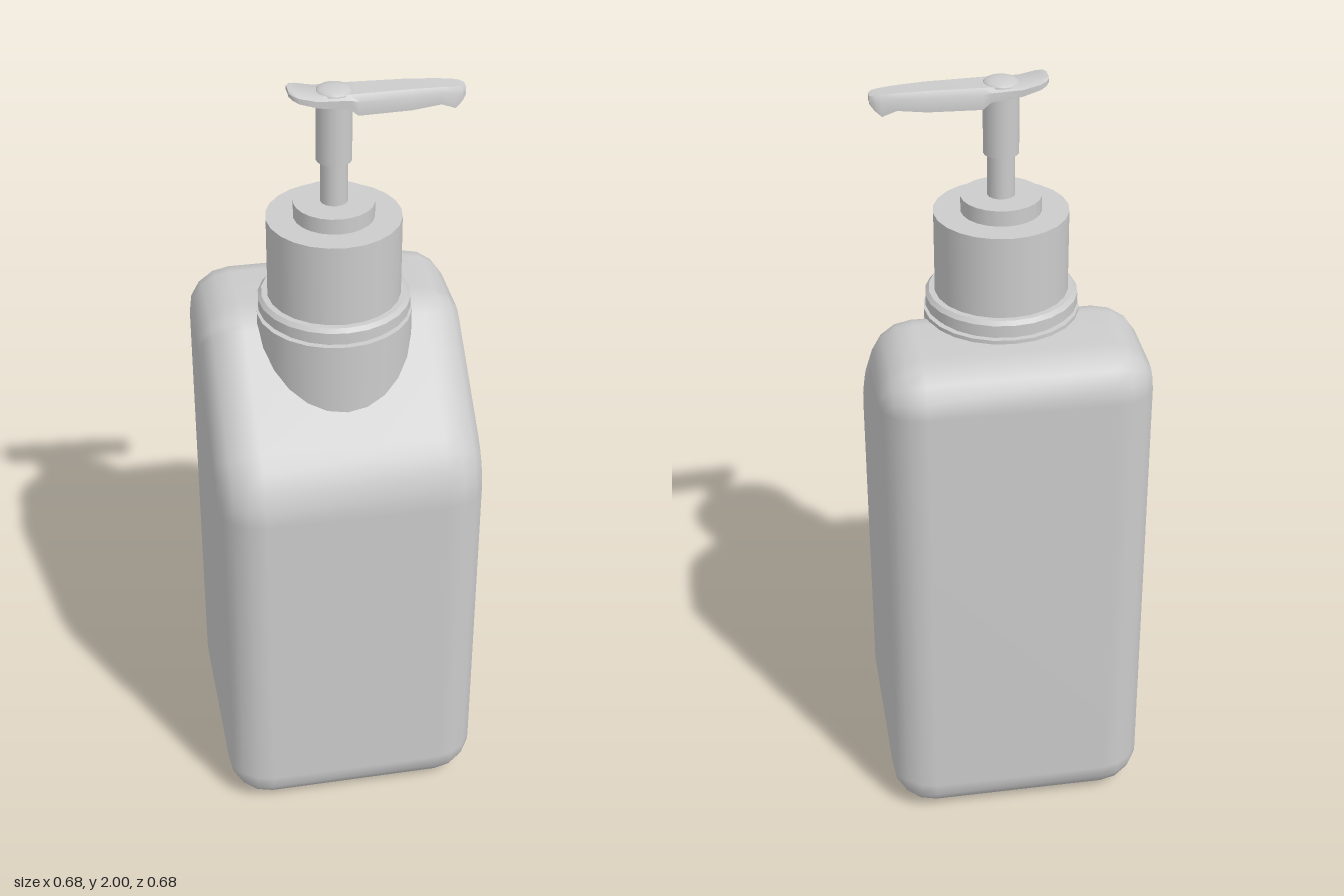
import * as THREE from 'three';
import { mergeVertices, toCreasedNormals } from 'three/addons/utils/BufferGeometryUtils.js';

const grey = new THREE.MeshStandardMaterial({ color: 0xcccccc });
const greyDouble = new THREE.MeshStandardMaterial({ color: 0xcccccc, side: THREE.DoubleSide });

function part(name, geometry, material = grey) {
  const mesh = new THREE.Mesh(geometry, material);
  mesh.name = name;
  return mesh;
}

// Upright cylinder given by its bottom and top heights
function cylinder(name, y0, y1, rBottom, rTop = rBottom, sides = 24) {
  const mesh = part(name, new THREE.CylinderGeometry(rTop, rBottom, y1 - y0, sides));
  mesh.position.y = (y0 + y1) / 2;
  return mesh;
}

// Bottle: side outline with a sloping front shoulder, extruded across with rounded edges
function bottleGeometry() {
  const rad = THREE.MathUtils.degToRad;
  const outline = new THREE.Shape();
  const corners = [ // z, y, radius, start angle, end angle
    [0.23, 0.11, 0.11, 270, 360],
    [0.12, 0.985, 0.22, 0, 50],
    [-0.065, 1.27, 0.12, 50, 90],
    [-0.23, 1.28, 0.11, 90, 180],
    [-0.23, 0.11, 0.11, 180, 270],
  ];
  for (const [z, y, r, a, b] of corners) outline.absarc(z, y, r, rad(a), rad(b), false);
  outline.closePath();
  const geo = new THREE.ExtrudeGeometry(outline, {
    depth: 0.46, curveSegments: 2, bevelSegments: 4,
    bevelThickness: 0.11, bevelSize: 0.105, bevelOffset: -0.105,
  });
  geo.translate(0, 0, -0.23);
  geo.rotateY(-Math.PI / 2);
  geo.deleteAttribute('uv');
  geo.deleteAttribute('normal');
  const smooth = mergeVertices(geo, 1e-4);
  smooth.computeVertexNormals();
  return smooth;
}

// Pump lever: inverted channel swept along x, solid behind the stem and open under the spout
function leverGeometry() {
  const sections = [ // x, half width, top, bottom, channel roof
    [-0.11, 0.022, 2.0, 1.988, 1.989],
    [-0.102, 0.036, 2.0, 1.984, 1.985],
    [-0.088, 0.044, 1.997, 1.978, 1.979],
    [-0.045, 0.046, 1.988, 1.965, 1.966],
    [0.03, 0.046, 1.988, 1.955, 1.966],
    [0.05, 0.045, 1.988, 1.938, 1.972],
    [0.18, 0.039, 1.987, 1.938, 1.972],
    [0.25, 0.033, 1.984, 1.944, 1.97],
    [0.285, 0.030, 1.981, 1.93, 1.966],
    [0.302, 0.025, 1.979, 1.945, 1.964],
    [0.312, 0.015, 1.976, 1.957, 1.961],
  ];
  const positions = [], index = [], n = 12;
  for (const [x, w, top, bottom, roof] of sections) {
    const v = w - Math.min(0.01, w * 0.4);
    const shoulder = top - (top - bottom) * 0.3;
    const innerShoulder = roof - (roof - bottom) * 0.3;
    const loop = [
      [bottom, -w], [shoulder, -w], [top, -w * 0.75], [top, w * 0.75], [shoulder, w], [bottom, w],
      [bottom, v], [innerShoulder, v], [roof, v * 0.75], [roof, -v * 0.75], [innerShoulder, -v], [bottom, -v],
    ];
    for (const [y, z] of loop) positions.push(x, y, z);
  }
  const quad = (a, b, c, d) => index.push(a, b, c, a, c, d);
  for (let i = 0; i < sections.length - 1; i++) {
    for (let j = 0; j < n; j++) {
      const k = (j + 1) % n;
      quad(i * n + j, i * n + k, (i + 1) * n + k, (i + 1) * n + j);
    }
  }
  const last = (sections.length - 1) * n;
  for (let j = 0; j < 5; j++) {
    quad(last + j, last + j + 1, last + 10 - j, last + 11 - j);
    quad(11 - j, 10 - j, j + 1, j);
  }
  const geo = new THREE.BufferGeometry();
  geo.setAttribute('position', new THREE.Float32BufferAttribute(positions, 3));
  geo.setIndex(index);
  return toCreasedNormals(geo, 0.7);
}

export function createModel() {
  const model = new THREE.Group();
  model.name = 'soapDispenser';
  model.add(part('bottle', bottleGeometry()));

  // Neck and screw cap
  model.add(
    cylinder('neck', 1.1, 1.4, 0.195),
    cylinder('neckGap', 1.39, 1.42, 0.18),
    cylinder('collarRing', 1.41, 1.438, 0.191),
    cylinder('collarRim', 1.438, 1.448, 0.191, 0.182),
    cylinder('cap', 1.44, 1.66, 0.167),
    cylinder('capStep', 1.655, 1.7, 0.1),
  );

  // Pump
  model.add(
    cylinder('stem', 1.69, 1.82, 0.034, 0.034, 16),
    cylinder('sleeve', 1.81, 1.975, 0.044, 0.044, 16),
    part('lever', leverGeometry(), greyDouble),
  );
  const knob = part('knob', new THREE.SphereGeometry(0.044, 16, 6, 0, Math.PI * 2, 0, Math.PI / 2));
  knob.scale.y = 0.32;
  knob.position.y = 1.985;
  model.add(knob);
  return model;
}
